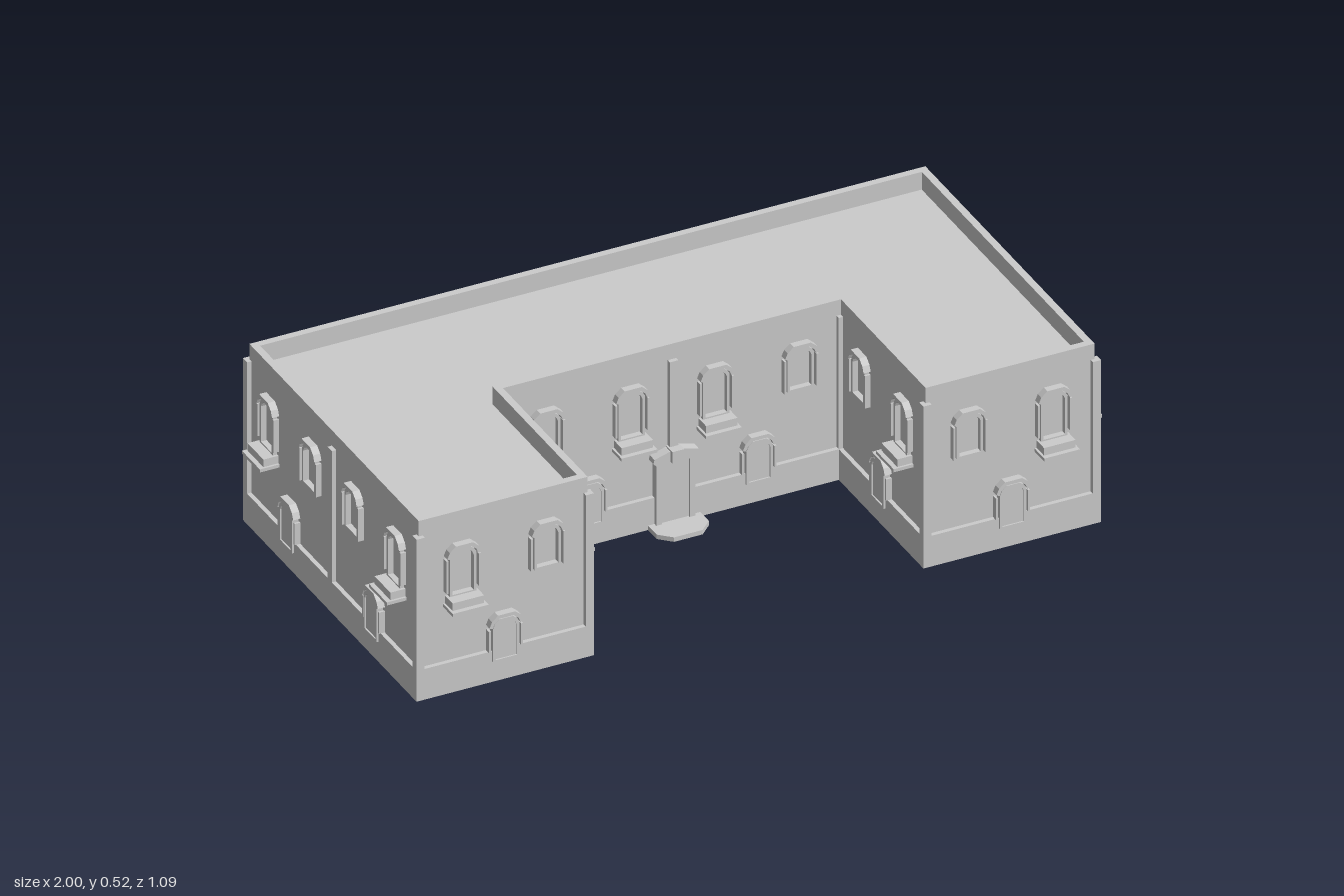
import * as THREE from 'three';

const W = 0.472;        // width of one wall bay
const H = 0.52;         // parapet height
const T = 0.02;         // wall thickness
const P = 0.012;        // projection of plinth and pilasters
const OUT = 2 * W, FRONT = 0.4905, COURT = 0.0185, BACK = -0.4535;

const mat = new THREE.MeshStandardMaterial({ color: 0xcccccc, flatShading: true, side: THREE.DoubleSide });

function add(parent, name, geo) {
  const m = new THREE.Mesh(geo, mat);
  m.name = name;
  parent.add(m);
  return m;
}

// Box given by its lower and upper limits on each axis
function box(x0, x1, y0, y1, z0, z1) {
  return new THREE.BoxGeometry(x1 - x0, y1 - y0, z1 - z0)
    .translate((x0 + x1) / 2, (y0 + y1) / 2, (z0 + z1) / 2);
}

function extrude(shape, z0, z1) {
  return new THREE.ExtrudeGeometry(shape, { depth: z1 - z0, bevelEnabled: false }).translate(0, 0, z0);
}

const pts = (list) => list.map(([x, y]) => new THREE.Vector2(x, y));

// Faceted arch head, running from right to left
const head = (w, top, cx = 0) => [
  [cx + w, top - w * 0.65], [cx + w * 0.85, top - w * 0.3], [cx + w * 0.5, top],
  [cx - w * 0.5, top], [cx - w * 0.85, top - w * 0.3], [cx - w, top - w * 0.65],
];
const arch = (w, y0, top, cx = 0) => pts([[cx - w, y0], [cx + w, y0], ...head(w, top, cx)]);

// Window kinds: bottom, top, side bar limits, how far the frame and pane stand out
const KINDS = {
  balconyWindow: { y0: 0.28, y1: 0.417, bar: [0.295, 0.39], frame: 0.012, pane: -0.004, balcony: true },
  upperWindow: { y0: 0.295, y1: 0.417, bar: [0.295, 0.39], frame: 0.012, pane: -0.004 },
  groundWindow: { y0: 0.06, y1: 0.182, bar: [0.09, 0.152], frame: 0.018, pane: 0.014 },
};

function makeWindow(name, x) {
  const k = KINDS[name];
  const g = new THREE.Group();
  g.name = name;
  g.position.x = x;

  const frame = new THREE.Shape(arch(0.037, k.y0, k.y1));
  frame.holes.push(new THREE.Path(arch(0.03, k.y0 + 0.005, k.y1 - 0.009)));
  add(g, 'windowFrame', extrude(frame, -T - 0.003, k.frame));
  add(g, 'windowPane', extrude(new THREE.Shape(arch(0.031, k.y0 + 0.003, k.y1 - 0.007)), -T + 0.004, k.pane));

  // Arched hood over the frame
  const hood = new THREE.Shape(pts([...head(0.048, k.y1 + 0.013), ...head(0.039, k.y1 + 0.003).reverse()]));
  add(g, 'windowHood', extrude(hood, 0, 0.02));

  for (const s of [-1, 1]) {
    add(g, 'windowSideBar', box(s * 0.045 - 0.003, s * 0.045 + 0.003, k.bar[0], k.bar[1], 0, 0.016));
  }
  if (k.balcony) {
    add(g, 'balconySlab', box(-0.05, 0.05, 0.25, 0.259, 0, 0.055));
    add(g, 'balconyBox', box(-0.044, 0.044, 0.259, 0.281, 0, 0.042));
  }
  return g;
}

// One wall bay facing +z; side is the end that carries the balcony window
function makeBay(side) {
  const g = new THREE.Group();
  g.name = 'wallBay';
  const windows = [['balconyWindow', side * 0.118], ['upperWindow', -side * 0.118], ['groundWindow', 0]];

  const wall = new THREE.Shape(pts([[-W / 2, 0], [W / 2, 0], [W / 2, H], [-W / 2, H]]));
  for (const [name, x] of windows) {
    const k = KINDS[name];
    wall.holes.push(new THREE.Path(arch(0.0365, k.y0 + 0.0005, k.y1 - 0.0005, x)));
    g.add(makeWindow(name, x));
  }
  add(g, 'wall', extrude(wall, -T, 0));

  // Plinth, notched around the ground window
  const e = W / 2 + P;
  const plinth = new THREE.Shape(pts([[-e, 0], [e, 0], [e, 0.09], [0.0365, 0.09],
    [0.0365, 0.0605], [-0.0365, 0.0605], [-0.0365, 0.09], [-e, 0.09]]));
  add(g, 'plinth', extrude(plinth, 0, P));

  for (const s of [-1, 1]) {
    const a = s * (W / 2 - 0.011), b = s * e;
    add(g, 'pilaster', box(Math.min(a, b), Math.max(a, b), 0.09, 0.475, 0, P));
  }
  return g;
}

function makeDoor() {
  const g = new THREE.Group();
  g.name = 'entrance';
  add(g, 'doorPanel', box(-0.042, 0.042, 0.012, 0.195, -T - 0.003, 0.016));
  for (const s of [-1, 1]) {
    add(g, 'doorPost', box(s * 0.047 - 0.008, s * 0.047 + 0.008, 0.012, 0.195, 0, 0.022));
  }
  // Sloped cornice with a block in the middle
  const cornice = new THREE.Shape(pts([[-0.055, 0.188], [0.055, 0.188], [0.065, 0.198], [0.062, 0.21],
    [0.02, 0.222], [-0.02, 0.222], [-0.062, 0.21], [-0.065, 0.198]]));
  add(g, 'doorCornice', extrude(cornice, 0, 0.026));
  add(g, 'doorKeystone', box(-0.017, 0.017, 0.192, 0.226, 0, 0.036));

  // Doorstep with clipped outer corners
  const step = new THREE.Shape(pts([[-0.073, 0], [0.073, 0], [0.073, -0.06], [0.04, -0.0915],
    [-0.04, -0.0915], [-0.073, -0.06]]));
  const geo = extrude(step, 0, 0.013).rotateX(-Math.PI / 2);
  add(g, 'doorstep', geo);
  return g;
}

export function createModel() {
  const model = new THREE.Group();
  model.name = 'courtyardBuilding';
  const place = (part, x, z, turn) => {
    part.position.set(x, 0, z);
    part.rotation.y = turn;
    model.add(part);
  };

  const Q = Math.PI / 2;
  const zA = FRONT - W / 2, zB = BACK + W / 2;
  for (const s of [-1, 1]) {
    place(makeBay(s), s * 1.5 * W, FRONT, 0);           // wing fronts
    place(makeBay(-s), s * 0.5 * W, COURT, 0);          // courtyard wall
    place(makeBay(-s), s * 1.5 * W, BACK, Math.PI);     // back wall, outer bays
    place(makeBay(s), s * 0.5 * W, BACK, Math.PI);      // back wall, inner bays
    place(makeBay(-s), s * OUT, zA, s * Q);             // outer sides
    place(makeBay(s), s * OUT, zB, s * Q);
    place(makeBay(s), s * W, zA, -s * Q);               // courtyard sides
    // Fills the wall thickness at the courtyard corners
    const a = s * W, b = s * (W + T);
    add(model, 'courtCorner', box(Math.min(a, b), Math.max(a, b), 0, H, COURT - T, COURT));
  }
  place(makeDoor(), 0, COURT, 0);
  place(makeDoor(), 0, BACK, Math.PI);

  // Flat roof set below the parapet
  const i = 0.01;
  const roof = new THREE.Shape(pts([
    [-OUT + i, -FRONT + i], [-W - i, -FRONT + i], [-W - i, -COURT + i], [W + i, -COURT + i],
    [W + i, -FRONT + i], [OUT - i, -FRONT + i], [OUT - i, -BACK - i], [-OUT + i, -BACK - i],
  ]));
  add(model, 'roof', extrude(roof, 0.458, 0.468).rotateX(-Q));
  return model;
}
